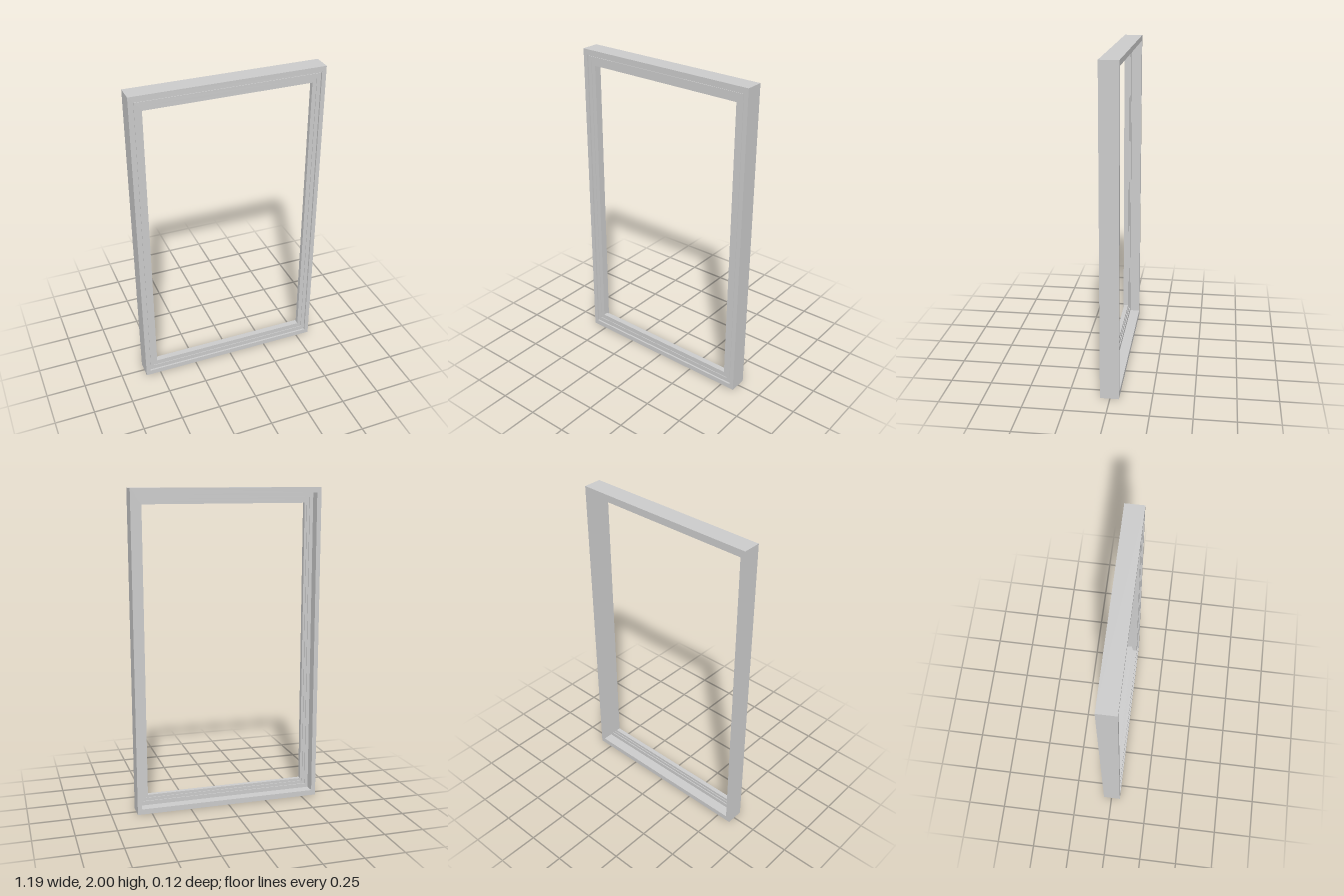
import * as THREE from 'three';

// Half width, half height, and how much wider the rails are than the jambs
const HALF_W = 0.594, HALF_H = 1, RAIL_SCALE = 1.2;

// Moulding cross-section [inset from outer edge, z]: front face, opening, back rebate
const PROFILE = [
  [0, 0.057], [0.027, 0.057], [0.027, 0.046], [0.034, 0.046], [0.034, 0.05],
  [0.054, 0.05], [0.054, 0.046], [0.08, 0.046],
  [0.08, 0.018], [0.066, 0.018], [0.066, 0.013], [0.05, 0.013], [0.05, 0.007],
  [0.028, 0.007], [0.028, -0.057], [0, -0.057],
];

// Corner signs, clockwise as seen from the front
const CORNERS = [[-1, 1], [1, 1], [1, -1], [-1, -1]];
const NAMES = ['topRail', 'leftJamb', 'bottomRail', 'rightJamb'];

function cornerPoint([sx, sy], [inset, z]) {
  return [sx * (HALF_W - inset), sy * (HALF_H - inset * RAIL_SCALE), z];
}

// One mitred member: the moulding run from corner a to corner b
function memberGeometry(a, b) {
  const positions = [];
  PROFILE.forEach((p, i) => {
    const q = PROFILE[(i + 1) % PROFILE.length];
    const pa = cornerPoint(a, p), qa = cornerPoint(a, q);
    const pb = cornerPoint(b, p), qb = cornerPoint(b, q);
    positions.push(...pa, ...qa, ...qb, ...pa, ...qb, ...pb);
  });
  const geometry = new THREE.BufferGeometry();
  geometry.setAttribute('position', new THREE.Float32BufferAttribute(positions, 3));
  geometry.computeVertexNormals();
  return geometry;
}

export function createModel() {
  const model = new THREE.Group();
  model.name = 'windowFrame';
  const material = new THREE.MeshStandardMaterial({ color: 0xcccccc });

  const frame = new THREE.Group();
  frame.name = 'mitredFrame';
  NAMES.forEach((name, i) => {
    const member = new THREE.Mesh(memberGeometry(CORNERS[i], CORNERS[(i + 1) % 4]), material);
    member.name = name;
    frame.add(member);
  });

  // The frame stands very slightly out of plumb
  frame.position.y = HALF_H;
  frame.rotation.set(-0.003, 0, -0.0025);
  model.add(frame);
  return model;
}
